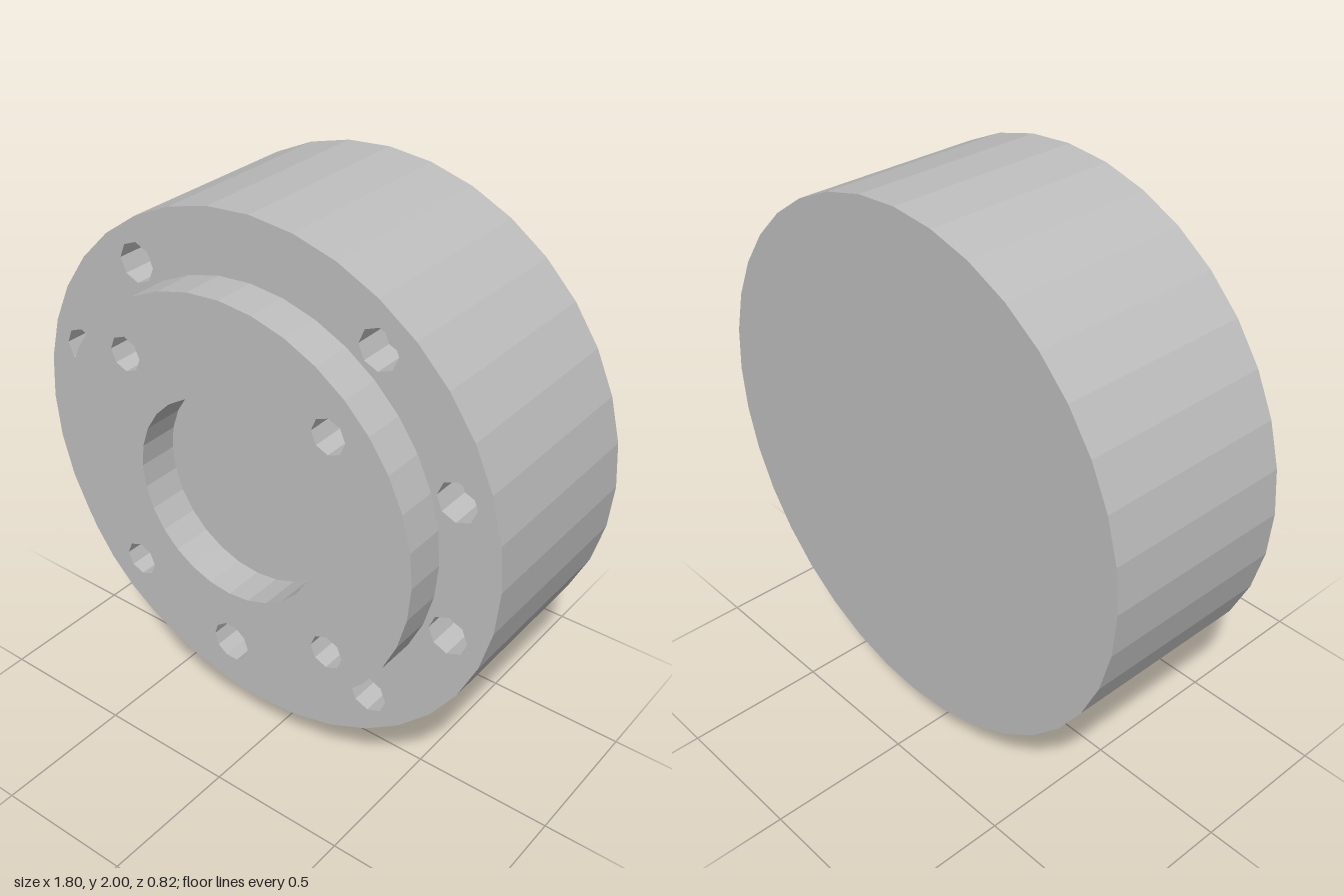
import * as THREE from 'three';

const CY = 1.1; // height of the main axis

const ring = (r, n, cx = 0, cy = 0, minY = -Infinity) =>
  Array.from({ length: n }, (_, i) => {
    const a = (i / n) * Math.PI * 2;
    return new THREE.Vector2(cx + r * Math.cos(a), Math.max(minY, cy + r * Math.sin(a)));
  });

export function createModel() {
  const model = new THREE.Group();
  const grey = new THREE.MeshStandardMaterial({ color: 0xbebebe, flatShading: true });
  grey.name = 'grey metal';

  const add = (name, geometry, x = 0, y = 0, z = 0) => {
    const mesh = new THREE.Mesh(geometry, grey);
    mesh.name = name;
    mesh.position.set(x, y, z);
    model.add(mesh);
    return mesh;
  };

  // Flat slab along z with polygonal holes
  const slab = (name, outline, holes, z0, z1) => {
    const shape = new THREE.Shape(outline);
    holes.forEach(h => shape.holes.push(new THREE.Path(h)));
    add(name, new THREE.ExtrudeGeometry(shape, { depth: z1 - z0, bevelEnabled: false }), 0, CY, z0);
  };

  // Rim bolt holes: ten-way spacing without the top and bottom ones
  const rimHoles = [-54, -18, 18, 54, 126, 162, 198, 234].map(d => {
    const a = THREE.MathUtils.degToRad(d);
    return [0.773 * Math.cos(a), 0.773 * Math.sin(a)];
  });
  const faceHoles = [[0.39, 0.39], [-0.39, 0.39], [-0.39, -0.39], [0.39, -0.39]];

  // Drum body, with a flat seat for the cable gland underneath
  slab('bodyBack', ring(0.9, 36), [], -0.41, -0.11);
  slab('bodyMiddle', ring(0.9, 36, 0, 0, -0.86), [], -0.11, 0.15);
  slab('bodyFront', ring(0.9, 36), rimHoles.map(([x, y]) => ring(0.068, 8, x, y)), 0.15, 0.27);

  // Raised flange with centre recess, four drilled holes and a lower hole
  slab('flange', ring(0.69, 36), [
    ring(0.35, 28),
    ring(0.07, 10, 0, -0.55),
    ...faceHoles.map(([x, y]) => ring(0.06, 8, x, y)),
  ], 0.27, 0.41);

  // Conical drill bottoms: inward-facing funnels
  faceHoles.forEach(([x, y]) => {
    const funnel = new THREE.LatheGeometry(
      [new THREE.Vector2(0.06, 0.03), new THREE.Vector2(0, 0)], 8);
    funnel.rotateX(Math.PI / 2).rotateZ(0);
    const mesh = add('drillBottom', funnel, x, CY + y, 0.275);
    mesh.material = drillMaterial(grey);
  });

  // Small square keys at the bottom of the side rim holes
  rimHoles.filter(([x]) => Math.abs(x) > 0.6).forEach(([x, y]) =>
    add('squareKey', new THREE.BoxGeometry(0.05, 0.05, 0.008), x, CY + y, 0.153));

  // Cable gland below the body
  const profile = [[0, 0.005], [0.07, 0.005], [0.085, 0.02], [0.092, 0.04],
    [0.11, 0.09], [0.11, 0.15], [0.105, 0.2], [0.105, 0.25]];
  add('cableGland', new THREE.LatheGeometry(
    profile.map(([r, y]) => new THREE.Vector2(r, y - 0.005)), 12), 0, 0, 0.02);

  return model;
}

// Two-sided version of the same metal, shared by the open funnels
let twoSided;
function drillMaterial(base) {
  if (!twoSided) {
    twoSided = base.clone();
    twoSided.side = THREE.DoubleSide;
    twoSided.name = 'grey metal two-sided';
  }
  return twoSided;
}
